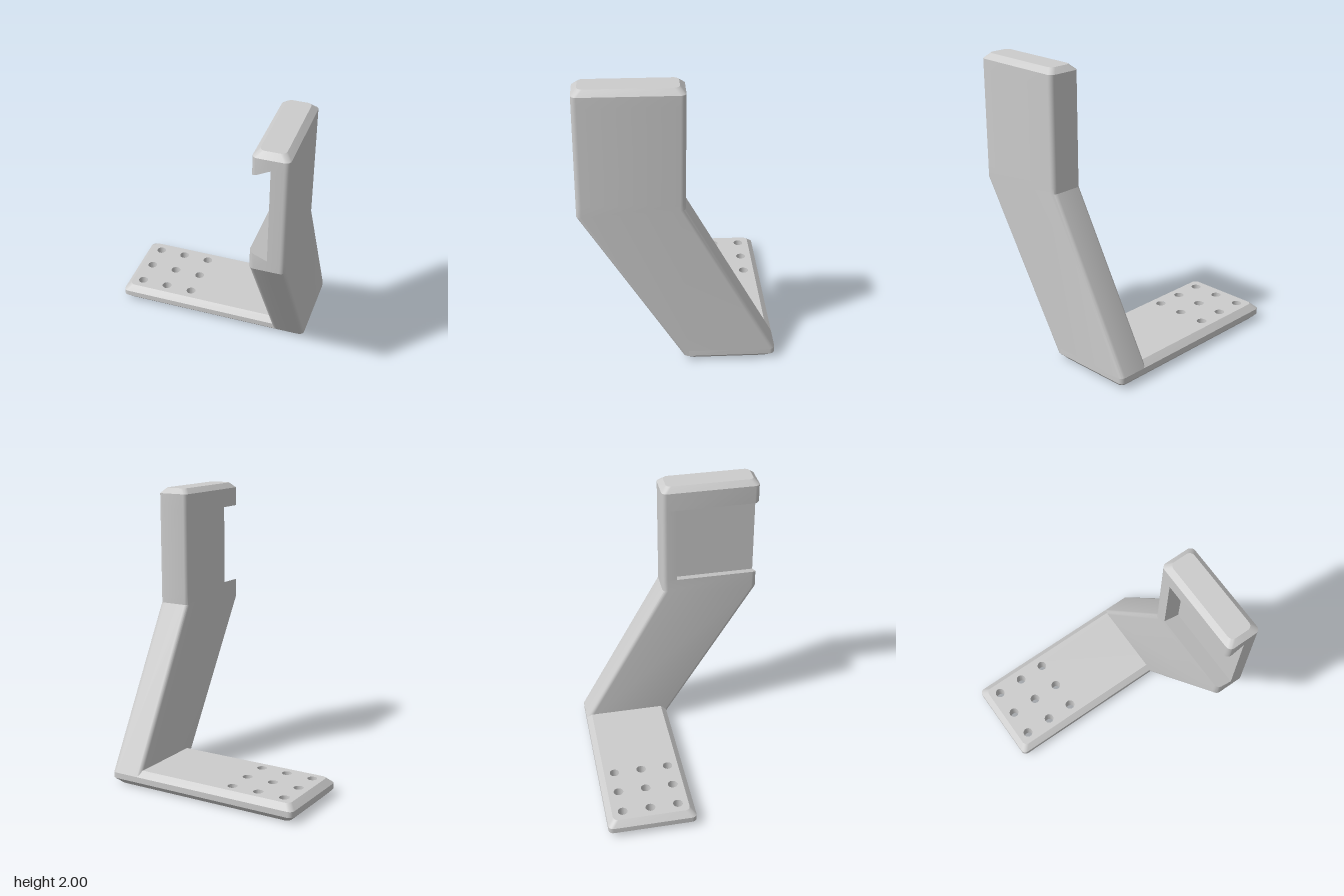
import * as THREE from 'three';
import { mergeGeometries, toCreasedNormals } from 'three/addons/utils/BufferGeometryUtils.js';

const material = new THREE.MeshStandardMaterial({ color: 0xcccccc });
const RADIUS = 0.035;

// quarter-round corner in plan, as [x, z] points
function corner(cx, cz, startDeg, r = RADIUS) {
  const pts = [];
  for (let i = 0; i <= 6; i++) {
    const a = THREE.MathUtils.degToRad(startDeg + i * 15);
    pts.push([cx + r * Math.cos(a), cz + r * Math.sin(a)]);
  }
  return pts;
}

// the four rounded corners of a rectangle in plan
function corners(x0, x1, z0, z1, inset = 0) {
  const d = RADIUS + inset;
  return [
    corner(x1 - d, z1 - d, 0), corner(x0 + d, z1 - d, 90),
    corner(x0 + d, z0 + d, 180), corner(x1 - d, z0 + d, 270),
  ];
}

function fromPositions(pos) {
  const g = new THREE.BufferGeometry();
  g.setAttribute('position', new THREE.Float32BufferAttribute(pos, 3));
  return g;
}

// walls between successive rings of [x, y, z] points
function loft(rings) {
  const pos = [];
  for (let k = 0; k < rings.length - 1; k++) {
    const lo = rings[k], hi = rings[k + 1];
    lo.forEach((a, i) => {
      const j = (i + 1) % lo.length;
      pos.push(...a, ...hi[i], ...lo[j], ...lo[j], ...hi[i], ...hi[j]);
    });
  }
  return fromPositions(pos);
}

// flat convex face, facing up or down
function face(ring, up) {
  const pos = [];
  for (let i = 1; i < ring.length - 1; i++) {
    const [b, c] = up ? [ring[i + 1], ring[i]] : [ring[i], ring[i + 1]];
    pos.push(...ring[0], ...b, ...c);
  }
  return fromPositions(pos);
}

const raise = (outline, height) =>
  outline.map(([x, z]) => [x, typeof height === 'function' ? height(x, z) : height, z]);

function solid(name, parts) {
  const mesh = new THREE.Mesh(toCreasedNormals(mergeGeometries(parts), 0.4), material);
  mesh.name = name;
  return mesh;
}

// chamfered foot plate with a 3 x 3 grid of through holes
function buildPlate() {
  const outline = (inset) => corners(-0.71, 0.71, -0.65, -0.03, inset).flat();
  const rings = [[0, 0.04], [0.04, 0], [0.08, 0], [0.12, 0.04]]
    .map(([y, inset]) => raise(outline(inset), y));
  const parts = [loft(rings)];

  const shape = new THREE.Shape(outline(0.04).map(([x, z]) => new THREE.Vector2(x, -z)));
  for (const x of [-0.593, -0.398, -0.202]) {
    for (const z of [-0.535, -0.34, -0.145]) {
      shape.holes.push(new THREE.Path().absarc(x, -z, 0.034, 0, Math.PI * 2));
      // hole wall, turned inside out
      const wall = new THREE.CylinderGeometry(0.034, 0.034, 0.12, 24, 1, true);
      wall.translate(x, 0.06, z);
      wall.setIndex(Array.from(wall.index.array).reverse());
      const flat = wall.toNonIndexed();
      parts.push(fromPositions(flat.attributes.position.array));
    }
  }
  for (const top of [true, false]) {
    const g = new THREE.ShapeGeometry(shape, 24).rotateX(-Math.PI / 2);
    if (top) g.translate(0, 0.12, 0);
    else g.setIndex(Array.from(g.index.array).reverse());
    parts.push(fromPositions(g.toNonIndexed().attributes.position.array));
  }
  return solid('footPlate', parts);
}

// leaning arm with an upright head and a dovetail slot on its inner side
function buildArm() {
  const x0 = 0.475, x1 = 0.71, z0 = -0.04, z1 = 0.65;
  const slotX = 0.595, slotZ = 0.06;

  const full = (inset = 0) => {
    const [a, b, c, d] = corners(x0, x1, z0, z1, inset);
    return [...a, [slotX, z1 - inset], ...b, ...c, ...d];
  };
  const [a, b, c, d] = corners(x0, x1, z0, z1);
  const notched = [...a, [slotX, z1], [slotX, slotZ], [x0, slotZ], ...c, ...d];
  const slotFace = [[slotX, z1], ...b, [x0, slotZ], [slotX, slotZ]];

  // sloping slot walls
  const slope = (x) => Math.max(0, slotX - x) / (slotX - x0);
  const low = (x) => 1.22 + 0.05 * slope(x);
  const high = (x) => 1.89 - 0.06 * slope(x);

  // foot and bend sections tilt from back to front
  const t = (z) => (z - z0) / (z1 - z0);
  const foot = full().map(([x, z]) => [x, 0.08 - 0.04 * t(z), -0.65 + 0.62 * t(z)]);
  const bend = raise(full(), (x, z) => 1.18 - 0.04 * t(z));
  const top = raise(full(0.037), 2);

  return solid('arm', [
    loft([foot, bend, raise(full(), low)]),
    loft([raise(notched, low), raise(notched, high)]),
    loft([raise(full(), high), raise(full(), 1.963), top]),
    face(raise(slotFace, low), true),
    face(raise(slotFace, high), false),
    face(top, true),
  ]);
}

export function createModel() {
  const group = new THREE.Group();
  group.name = 'bracketStand';
  group.add(buildPlate(), buildArm());
  return group;
}
